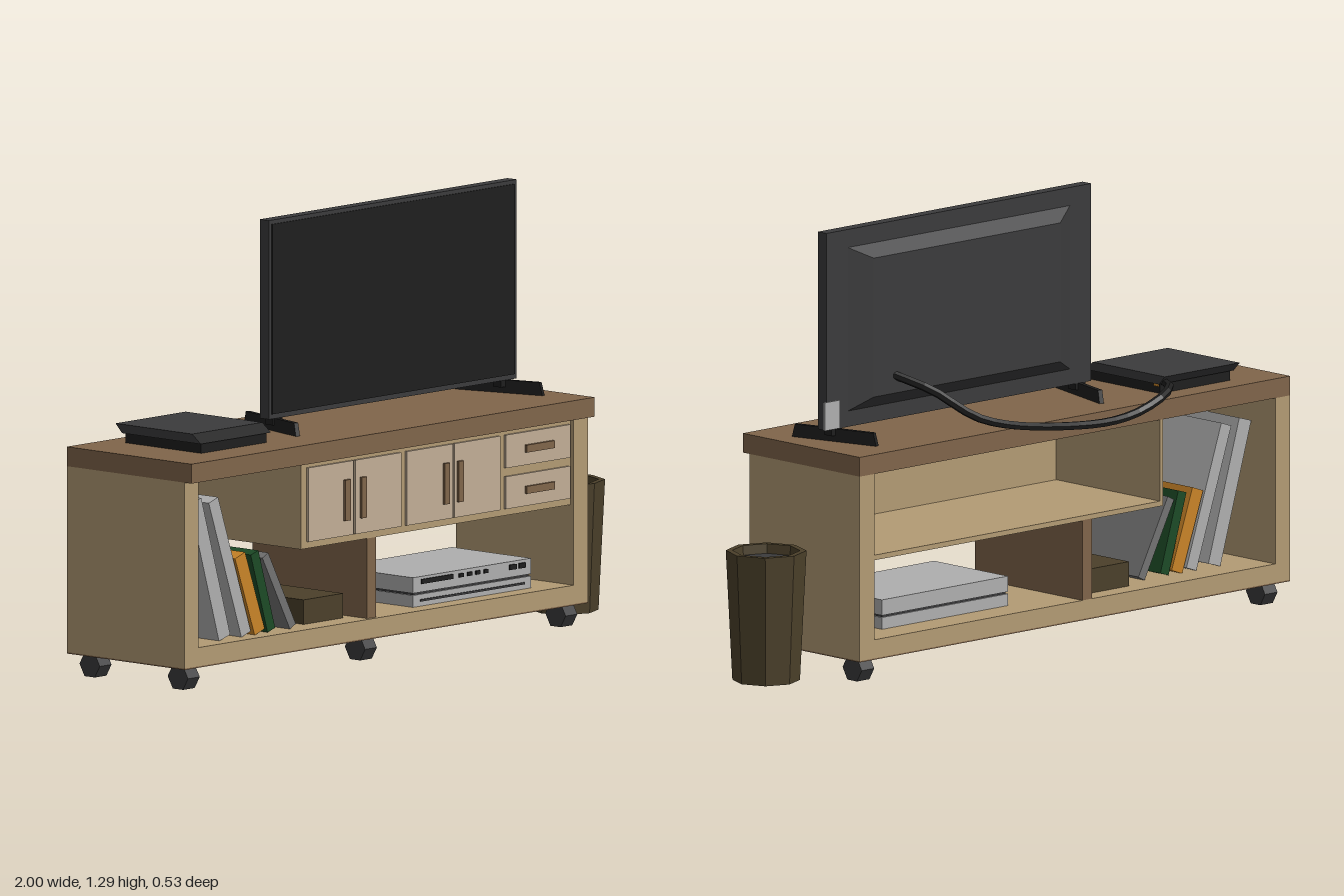
import * as THREE from 'three';

const mat = (name, color) => {
  const m = new THREE.MeshStandardMaterial({ color });
  m.name = name;
  return m;
};

export function createModel() {
  const oak = mat('oak', 0xb39b74), walnut = mat('walnut', 0x80654a), door = mat('pale door', 0xc2ae96),
    dark = mat('dark grey', 0x3b3b3c), black = mat('black', 0x1e1e1e), light = mat('light grey', 0xafafaf),
    grey = mat('mid grey', 0x737373), orange = mat('orange', 0xc98428), green = mat('green', 0x1c4a26),
    olive = mat('olive', 0x4b402a);
  const root = new THREE.Group();
  root.name = 'mediaUnit';

  const group = (name) => {
    const g = new THREE.Group();
    g.name = name;
    root.add(g);
    return g;
  };
  const flat = (geo) => {
    const g = geo.index ? geo.toNonIndexed() : geo;
    g.computeVertexNormals();
    return g;
  };
  const add = (parent, name, geo, material) => {
    const m = new THREE.Mesh(geo, material);
    m.name = name;
    parent.add(m);
    return m;
  };
  // Box given by its limits on each axis
  const box = (parent, name, material, x0, x1, y0, y1, z0, z1) => {
    const m = add(parent, name, new THREE.BoxGeometry(x1 - x0, y1 - y0, z1 - z0), material);
    m.position.set((x0 + x1) / 2, (y0 + y1) / 2, (z0 + z1) / 2);
    return m;
  };
  // Moves the vertices of a geometry by a rule
  const warp = (geo, rule) => {
    const p = geo.attributes.position, v = new THREE.Vector3();
    for (let i = 0; i < p.count; i++) {
      rule(v.fromBufferAttribute(p, i));
      p.setXYZ(i, v.x, v.y, v.z);
    }
    return flat(geo);
  };

  // Cabinet carcass
  const cab = group('cabinet');
  box(cab, 'tableTop', walnut, -1, 0.725, 0.615, 0.672, -0.225, 0.265);
  box(cab, 'leftEnd', oak, 0.665, 0.725, 0.07, 0.615, -0.225, 0.238);
  box(cab, 'rightEnd', oak, -1, -0.94, 0.07, 0.615, -0.225, 0.238);
  box(cab, 'bottomBoard', oak, -0.94, 0.665, 0.07, 0.125, -0.225, 0.238);
  box(cab, 'underside', walnut, -1, 0.725, 0.066, 0.07, -0.225, 0.238);
  box(cab, 'divider', walnut, -0.205, -0.167, 0.125, 0.362, -0.225, 0.225);

  // Hanging cupboard, open at the back
  box(cab, 'cupboardShelf', oak, -0.49, 0.665, 0.36, 0.375, -0.225, 0.225);
  box(cab, 'cupboardSide', oak, -0.49, -0.478, 0.375, 0.615, -0.225, 0.225);
  box(cab, 'cupboardFront', oak, -0.49, 0.665, 0.36, 0.615, 0.21, 0.226);
  const fronts = group('doorsAndDrawers');
  [[-0.465, -0.272, -0.305], [-0.265, -0.068, -0.235], [-0.045, 0.152, 0.12], [0.16, 0.357, 0.18]].forEach(([a, b, h]) => {
    box(fronts, 'door', door, a, b, 0.38, 0.597, 0.226, 0.234);
    box(fronts, 'doorHandle', walnut, h - 0.011, h + 0.011, 0.425, 0.545, 0.234, 0.243);
  });
  [[0.38, 0.475], [0.5, 0.597]].forEach(([a, b]) => {
    box(fronts, 'drawer', door, 0.38, 0.655, a, b, 0.226, 0.234);
    box(fronts, 'drawerHandle', walnut, 0.46, 0.58, (a + b) / 2 - 0.011, (a + b) / 2 + 0.011, 0.234, 0.243);
  });

  // Six-sided wheels
  const wheels = group('wheels');
  const wheelGeo = flat(new THREE.CylinderGeometry(0.04, 0.04, 0.05, 6).rotateZ(Math.PI / 2));
  [[-0.943, 0.182], [-0.185, 0.182], [0.673, 0.182], [-0.943, -0.165], [0.673, -0.165]].forEach(([x, z]) => {
    add(wheels, 'wheel', wheelGeo, dark).position.set(x, 0.035, z);
  });

  // Television
  const tv = group('television');
  box(tv, 'tvPanel', dark, -0.405, 0.655, 0.71, 1.293, -0.013, 0.023);
  box(tv, 'screen', black, -0.394, 0.644, 0.724, 1.281, 0.023, 0.026);
  const bulge = warp(new THREE.BoxGeometry(0.89, 0.483, 0.034), (v) => {
    if (v.z < 0) { v.x *= 0.84; v.y *= 0.85; }
  });
  add(tv, 'tvBack', bulge, dark).position.set(0.125, 0.998, -0.03);
  [-1, 1].forEach((s) => {
    const foot = add(tv, 'tvFoot', warp(new THREE.BoxGeometry(0.014, 0.038, 0.284), (v) => {
      if (v.y > 0) v.z *= 0.93;
    }), black);
    foot.position.set(s < 0 ? -0.364 : 0.611, 0.691, -0.003);
    foot.rotation.y = s * 0.27;
    box(tv, 'footNeck', black, s < 0 ? -0.385 : 0.59, s < 0 ? -0.345 : 0.632, 0.69, 0.715, -0.01, 0.02);
  });

  // Set-top box with a sloping black front
  const con = group('setTopBox');
  box(con, 'lowerCase', black, -0.83, -0.55, 0.672, 0.7, -0.15, 0.147);
  const lid = warp(new THREE.BoxGeometry(0.3, 0.026, 0.335), (v) => {
    if (v.y > 0 && v.z > 0) v.z -= 0.034;
    if (v.y < 0 && v.z < 0) v.z += 0.025;
  });
  add(con, 'upperCase', lid, [dark, dark, dark, dark, black, dark]).position.set(-0.69, 0.714, -0.013);
  box(con, 'statusLight', orange, -0.55, -0.547, 0.692, 0.7, -0.145, -0.125);

  // Cable from the television to the box
  const path = new THREE.CatmullRomCurve3([
    [0.41, 0.845, -0.04], [0.35, 0.805, -0.135], [0.23, 0.715, -0.22], [-0.155, 0.648, -0.246],
    [-0.35, 0.652, -0.246], [-0.475, 0.69, -0.243], [-0.545, 0.705, -0.195], [-0.56, 0.705, -0.16],
  ].map((p) => new THREE.Vector3(...p)), false, 'centripetal');
  add(root, 'cable', flat(new THREE.TubeGeometry(path, 24, 0.013, 6)), black);

  // Disc player
  const player = group('discPlayer');
  box(player, 'lowerDeck', light, 0.04, 0.545, 0.125, 0.16, -0.13, 0.18);
  box(player, 'deckGap', dark, 0.045, 0.54, 0.16, 0.166, -0.125, 0.175);
  box(player, 'upperDeck', light, 0.04, 0.545, 0.166, 0.212, -0.13, 0.18);
  box(player, 'discSlot', black, 0.075, 0.21, 0.19, 0.204, 0.18, 0.184);
  box(player, 'lowerSlot', dark, 0.07, 0.515, 0.139, 0.145, 0.18, 0.184);
  [0.245, 0.28, 0.315, 0.35].forEach((x) => box(player, 'button', black, x - 0.009, x + 0.009, 0.191, 0.202, 0.18, 0.185));
  [0.465, 0.505].forEach((x) => box(player, 'socket', black, x - 0.014, x + 0.014, 0.188, 0.203, 0.18, 0.185));

  box(root, 'storageBox', olive, -0.412, -0.242, 0.125, 0.197, -0.165, 0.165);

  // Leaning books: bottom x, top x, top y, thickness, colour
  const books = group('books');
  [[-0.782, -0.906, 0.545, 0.05, light], [-0.69, -0.83, 0.54, 0.042, light], [-0.632, -0.716, 0.365, 0.045, orange],
    [-0.582, -0.654, 0.366, 0.034, green], [-0.49, -0.608, 0.353, 0.028, grey]].forEach(([bx, tx, ty, t, m]) => {
    const dx = tx - bx, dy = ty - 0.131;
    const b = add(books, 'book', new THREE.BoxGeometry(t, Math.hypot(dx, dy), 0.33), m);
    b.position.set((bx + tx) / 2, (ty + 0.131) / 2, 0.03);
    b.rotation.z = Math.atan2(-dx, dy);
  });

  // Eight-sided waste bin with a dark lining
  const bin = group('wasteBin');
  bin.position.set(0.882, 0, 0.003);
  const profile = [[0, 0.004], [0.098, 0.004], [0.117, 0.386], [0.098, 0.386], [0.095, 0.355]].map((p) => new THREE.Vector2(...p));
  add(bin, 'binShell', flat(new THREE.LatheGeometry(profile, 8)), olive);
  add(bin, 'binLining', flat(new THREE.CylinderGeometry(0.097, 0.097, 0.004, 8)), dark).position.y = 0.356;

  // Wall socket
  const outlet = group('wallSocket');
  box(outlet, 'socketPlate', light, 0.84, 0.9, 0.78, 0.863, -0.263, -0.255);
  [0.803, 0.84].forEach((y) => {
    box(outlet, 'socketFace', grey, 0.853, 0.887, y - 0.013, y + 0.013, -0.255, -0.251);
    [-0.007, 0.007].forEach((d) => box(outlet, 'socketSlot', black, 0.868 + d, 0.872 + d, y - 0.006, y + 0.008, -0.251, -0.249));
  });
  box(outlet, 'plug', light, 0.86, 0.88, 0.795, 0.811, -0.251, -0.237);

  return root;
}
